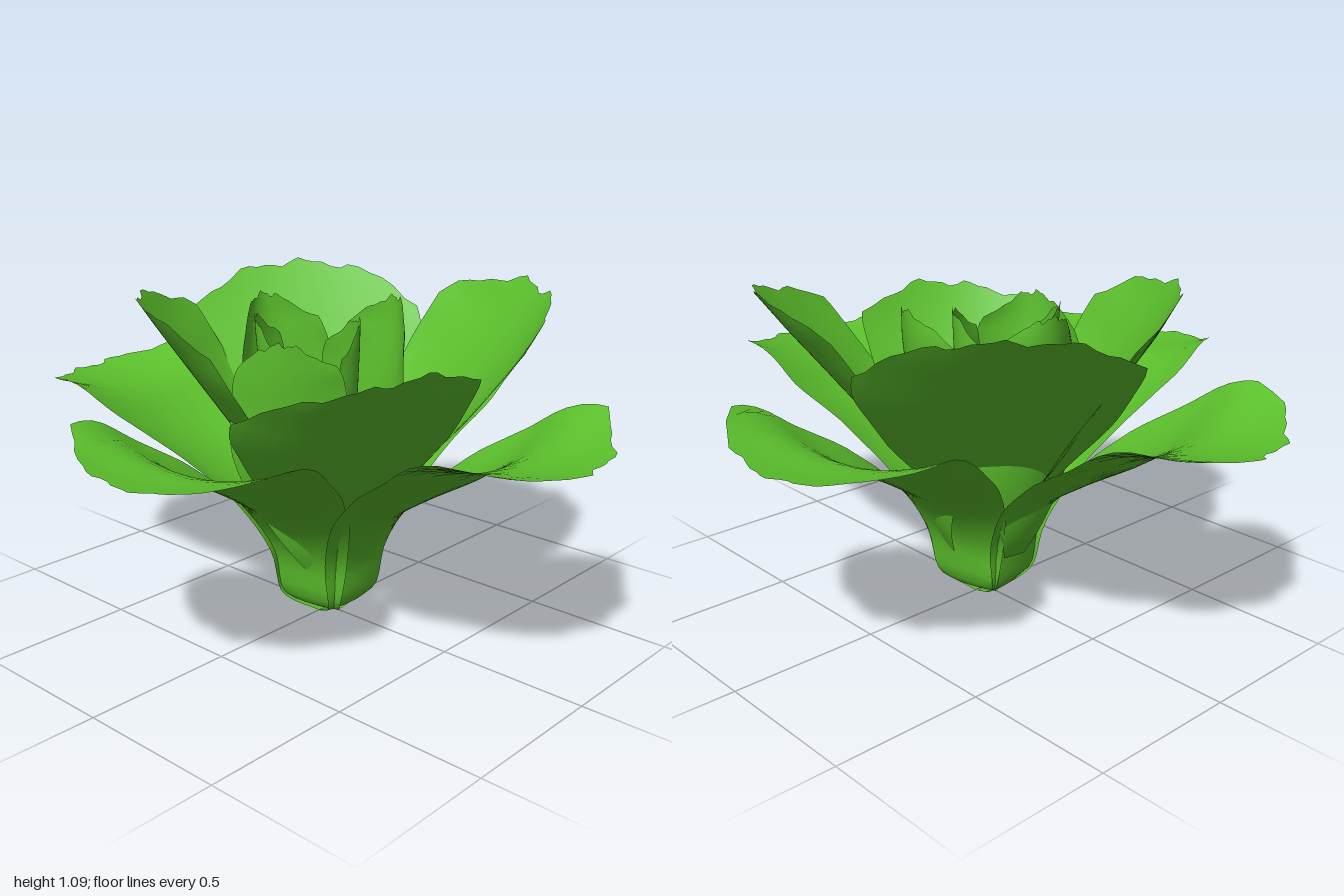
import * as THREE from 'three';

const ROWS = 28, COLS = 24;
const material = new THREE.MeshStandardMaterial({ color: 0x5cc02c, side: THREE.DoubleSide });

// Midrib rules, base to tip: [distance from axis, height, half width]
const OUTER = [[0, 0, 0.05], [0.115, 0.06, 0.115], [0.15, 0.22, 0.155], [0.25, 0.37, 0.22], [0.4, 0.48, 0.29],
  [0.58, 0.59, 0.36], [0.72, 0.68, 0.39], [0.87, 0.7, 0.37], [1.0, 0.72, 0.3]];
const MIDDLE = [[0, 0.02, 0.04], [0.08, 0.07, 0.07], [0.11, 0.22, 0.09], [0.2, 0.43, 0.18],
  [0.34, 0.62, 0.31], [0.48, 0.8, 0.39], [0.6, 0.95, 0.39], [0.7, 1.08, 0.33]];
const HEART = [[0.15, 0.18, 0.04], [0.2, 0.28, 0.08], [0.25, 0.44, 0.15], [0.28, 0.6, 0.19],
  [0.3, 0.78, 0.19], [0.32, 0.92, 0.16], [0.33, 1.04, 0.09]];

// One thin leaf: cupped cross-sections swept along a midrib, with a rounded, scalloped rim
function leaf(name, rib, { dir, reach = 1, height = 1, width = 1, cup, flatten = 0, shift = 0, tilt = 0, round = 0.18, seed }) {
  const curve = new THREE.CatmullRomCurve3(rib.map(([r, y, w]) => new THREE.Vector3(r * reach, y * height, w * width)));
  const angle = Math.atan2(dir[1], dir[0]);
  const c = Math.cos(angle), s = Math.sin(angle);
  const positions = [], index = [];
  for (let i = 0; i <= ROWS; i++) {
    for (let j = 0; j <= COLS; j++) {
      const v = (j / COLS) * 2 - 1;
      const scallop = 0.011 * Math.sin(v * 11 + seed) + 0.007 * Math.sin(v * 23 + seed * 2);
      const u = (i / ROWS) * (1 - round * Math.pow(Math.abs(v), 2.6) + scallop - 0.018);
      const p = curve.getPoint(u), d = curve.getTangent(u);
      const n = Math.hypot(d.x, d.y);
      const ruffle = 1 + 0.025 * Math.sin(u * 34 + seed + Math.sign(v)) * u * u;
      const across = p.z * v * ruffle + shift * Math.min(1, 2 * u);
      const lift = cup * Math.min(1, 0.05 + 1.2 * u) * (1 - flatten * u * u) * v * v * Math.min(1, p.z / (0.3 * width));
      const r = p.x - (d.y / n) * lift;
      const y = p.y + (d.x / n) * lift + tilt * v * u * u;
      positions.push(c * r - s * across, Math.max(0, y), s * r + c * across);
      if (i < ROWS && j < COLS) {
        const a = i * (COLS + 1) + j, b = a + COLS + 1;
        index.push(a, a + 1, b, b, a + 1, b + 1);
      }
    }
  }
  const geometry = new THREE.BufferGeometry();
  geometry.setAttribute('position', new THREE.Float32BufferAttribute(positions, 3));
  geometry.setIndex(index);
  geometry.computeVertexNormals();
  const mesh = new THREE.Mesh(geometry, material);
  mesh.name = name;
  return mesh;
}

export function createModel() {
  const plant = new THREE.Group();
  plant.name = 'leafyPlant';
  const rings = [
    // Low leaves that bend over to the sides
    ['outerLeaf', OUTER, [
      { dir: [1, 0], seed: 0 },
      { dir: [0.14, 0.95], reach: 0.98, seed: 2 },
      { dir: [-0.97, 0.2], reach: 1.02, seed: 4 },
      { dir: [-0.21, -0.95], reach: 0.985, seed: 6 },
    ].map((o) => ({ ...o, cup: 0.15, flatten: 0.6 }))],
    // Tall leaves leaning outward between them
    ['middleLeaf', MIDDLE, [
      { dir: [-0.78, -0.62], cup: 0.06, reach: 1.02, width: 1.04, seed: 1 },
      { dir: [-0.63, 0.77], cup: 0.11, reach: 0.87, width: 0.96, shift: 0.09, seed: 3 },
      { dir: [0.56, -0.83], cup: 0.11, reach: 1.05, width: 0.97, tilt: -0.04, seed: 5 },
      { dir: [0.82, 0.57], cup: 0.1, reach: 0.84, height: 0.87, width: 0.94, tilt: -0.06, seed: 7 },
    ]],
    // Upright curved leaves wrapped around the heart
    ['heartLeaf', HEART, [
      { dir: [-0.99, -0.14], cup: 0.2, reach: 1.1, shift: 0.01, seed: 2 },
      { dir: [0.22, -0.98], cup: 0.15, reach: 0.95, shift: -0.05, width: 0.95, seed: 4 },
      { dir: [0.53, 0.85], cup: 0.15, reach: 0.84, shift: 0.09, height: 0.95, seed: 6 },
      { dir: [0.62, -0.78], cup: 0.16, reach: 0.33, shift: -0.03, height: 0.96, width: 0.95, seed: 8 },
      { dir: [-0.75, 0.66], cup: 0.13, reach: 0.72, shift: 0.03, height: 0.98, width: 0.88, seed: 9 },
    ].map((o) => ({ ...o, round: 0.14 }))],
  ];
  for (const [name, rib, leaves] of rings) {
    leaves.forEach((options, i) => plant.add(leaf(`${name}${i + 1}`, rib, options)));
  }
  return plant;
}
